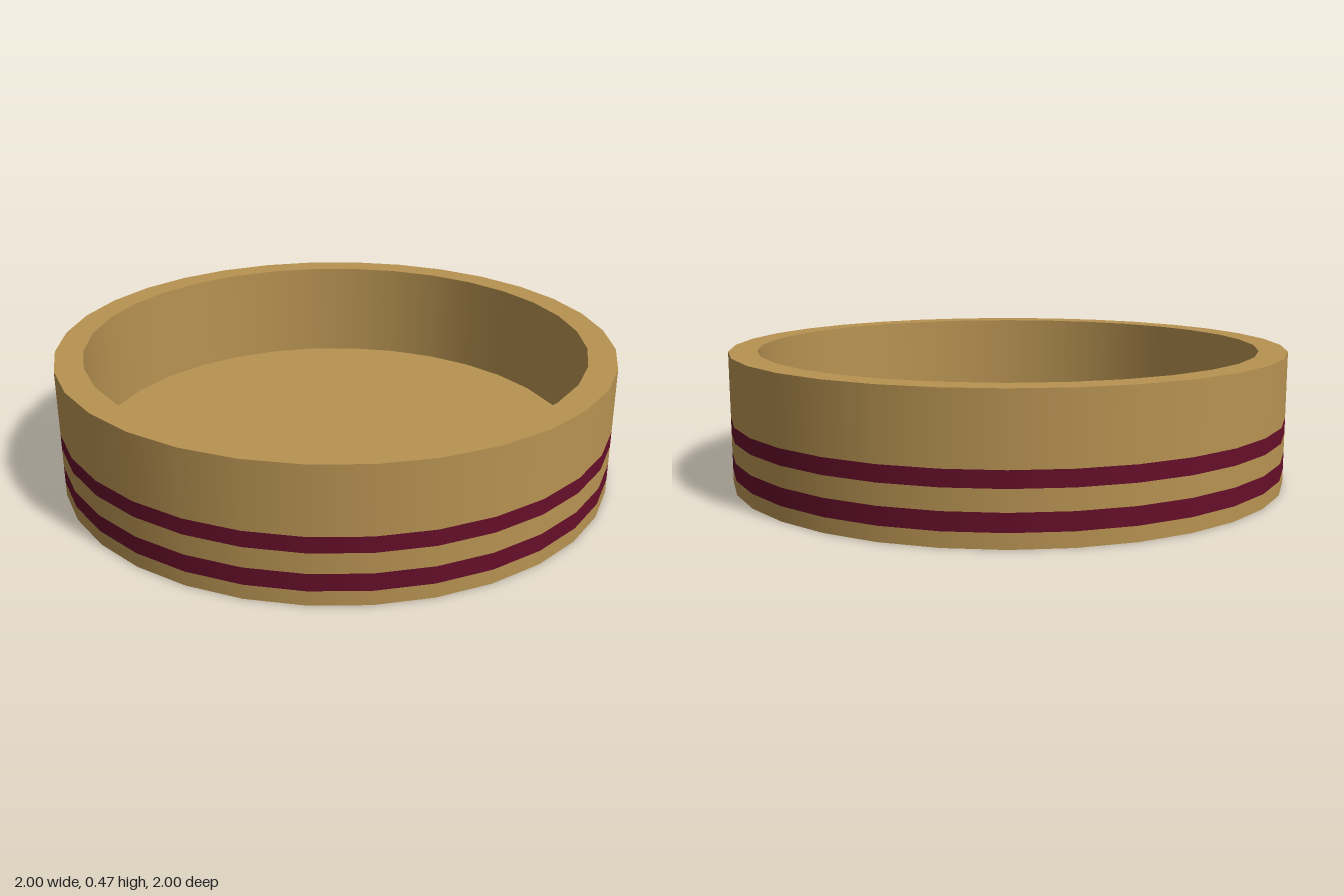
import * as THREE from 'three';

const SIDES = 32;
const OUTER = 1, INNER = 0.9, HEIGHT = 0.47, FLOOR = 0.1;

export function createModel() {
  const group = new THREE.Group();
  const tan = new THREE.MeshStandardMaterial({ color: 0xb89352 });
  tan.name = 'tan';
  const maroon = new THREE.MeshStandardMaterial({ color: 0x660f2a });
  maroon.name = 'maroon';

  // One turned surface between two profile points, so edges between surfaces stay sharp
  const turned = (name, material, r0, y0, r1, y1) => {
    const profile = [new THREE.Vector2(r0, y0), new THREE.Vector2(r1, y1)];
    const mesh = new THREE.Mesh(new THREE.LatheGeometry(profile, SIDES), material);
    mesh.name = name;
    group.add(mesh);
  };

  // Outer wall: plain bands alternating with two painted stripes
  const levels = [0, 0.05, 0.11, 0.18, 0.235, HEIGHT];
  const names = ['lowerWall', 'lowerStripe', 'middleWall', 'upperStripe', 'upperWall'];
  names.forEach((name, i) =>
    turned(name, i % 2 ? maroon : tan, OUTER, levels[i], OUTER, levels[i + 1]));

  // Rim, inside and underside of the shallow bowl
  turned('rim', tan, OUTER, HEIGHT, INNER, HEIGHT);
  turned('innerWall', tan, INNER, HEIGHT, INNER, FLOOR);
  turned('floor', tan, INNER, FLOOR, 0, FLOOR);
  turned('base', tan, 0, 0, OUTER, 0);

  return group;
}
